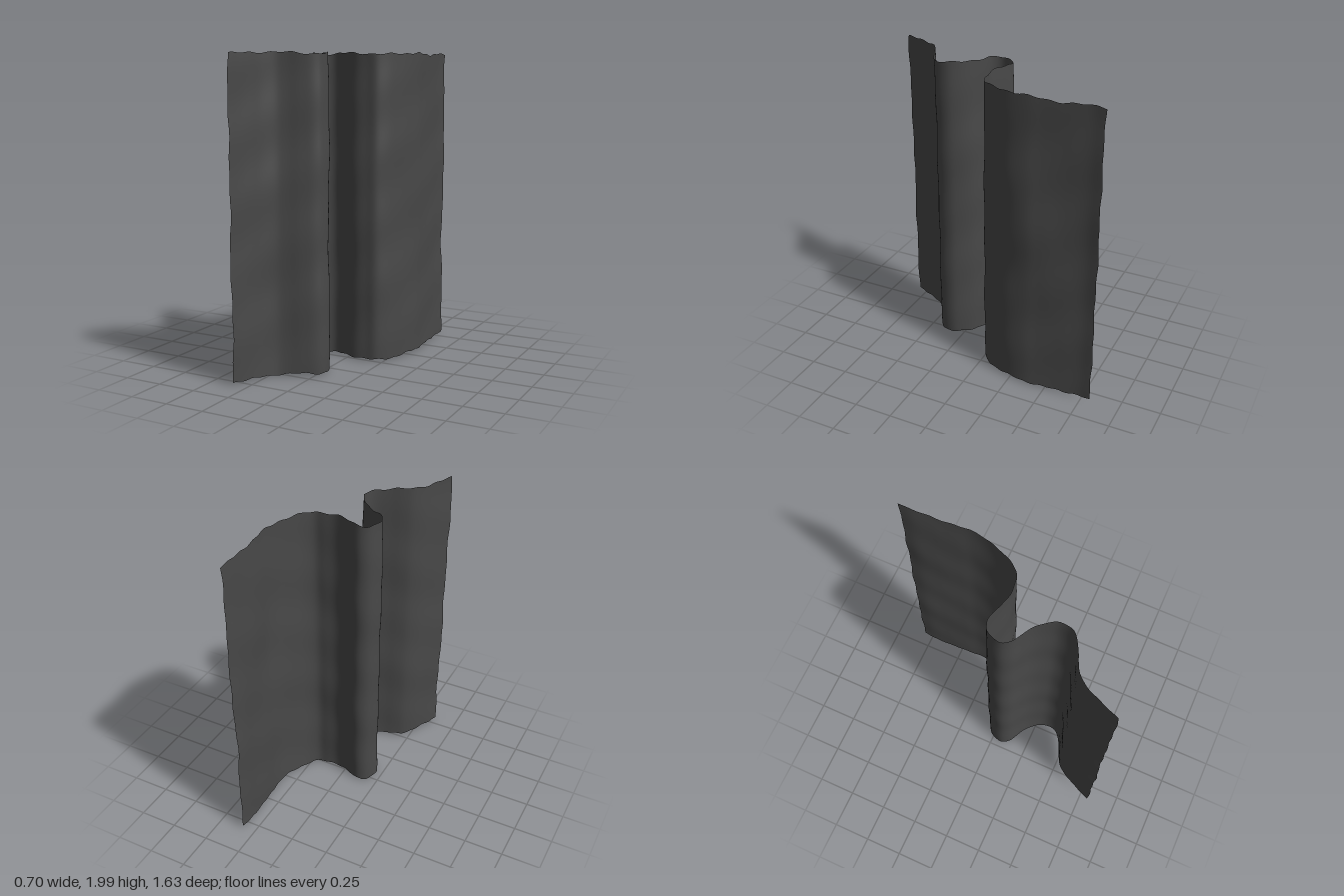
import * as THREE from 'three';

// Plan of the folded cloth as [x, z], from the back edge to the front edge
const plan = [
  [0.33, -0.81], [0.32, -0.73], [0.325, -0.6], [0.335, -0.45], [0.34, -0.35],
  [0.325, -0.24], [0.29, -0.14], [0.25, -0.06], [0.2, -0.01], [0.14, 0],
  [0.07, 0.005], [0, -0.015], [-0.06, -0.04], [-0.12, -0.055], [-0.17, -0.035],
  [-0.2, 0.01], [-0.21, 0.07], [-0.18, 0.12], [-0.1, 0.16], [-0.04, 0.2],
  [0.01, 0.26], [0.037, 0.32], [0.03, 0.39], [0, 0.425], [-0.07, 0.465],
  [-0.15, 0.5], [-0.2, 0.53], [-0.25, 0.59], [-0.29, 0.67], [-0.32, 0.74], [-0.345, 0.81],
];

// Smooth uneven wave in the range -1..1
const wave = (a, b) =>
  (Math.sin(a + 1.3 * Math.sin(b)) + Math.sin(a * 2.3 + b + 1) + Math.sin(a * 0.6 - b * 1.7 + 2)) / 3;

export function createModel() {
  const group = new THREE.Group();
  group.name = 'curtain';
  const fabric = new THREE.MeshStandardMaterial({ color: 0x484848, side: THREE.DoubleSide });
  fabric.name = 'charcoal fabric';

  const curve = new THREE.CatmullRomCurve3(plan.map(([x, z]) => new THREE.Vector3(x, 0, z)));
  const columns = 140, rows = 60;
  const stations = curve.getSpacedPoints(columns);

  // Sweep the plan upward, with small ripples across the cloth and ragged hems
  const geometry = new THREE.PlaneGeometry(1, 1, columns, rows);
  const position = geometry.attributes.position;
  for (let row = 0; row <= rows; row++) {
    const v = 1 - row / rows;
    for (let col = 0; col <= columns; col++) {
      const u = col / columns;
      const p = stations[col];
      const t = curve.getTangentAt(u);
      const ripple = 0.007 * wave(v * 13, u * 16);
      const side = 0.008 * wave(v * 22, 3) * Math.pow(Math.abs(2 * u - 1), 8);
      const bottom = 0.02 + 0.011 * wave(u * 55, 1);
      const top = 1.985 + 0.012 * wave(u * 48, 4);
      position.setXYZ(
        row * (columns + 1) + col,
        p.x + t.z * ripple + t.x * side,
        bottom + (top - bottom) * v,
        p.z - t.x * ripple + t.z * side,
      );
    }
  }
  geometry.computeVertexNormals();

  const cloth = new THREE.Mesh(geometry, fabric);
  cloth.name = 'foldedCloth';
  group.add(cloth);
  return group;
}
